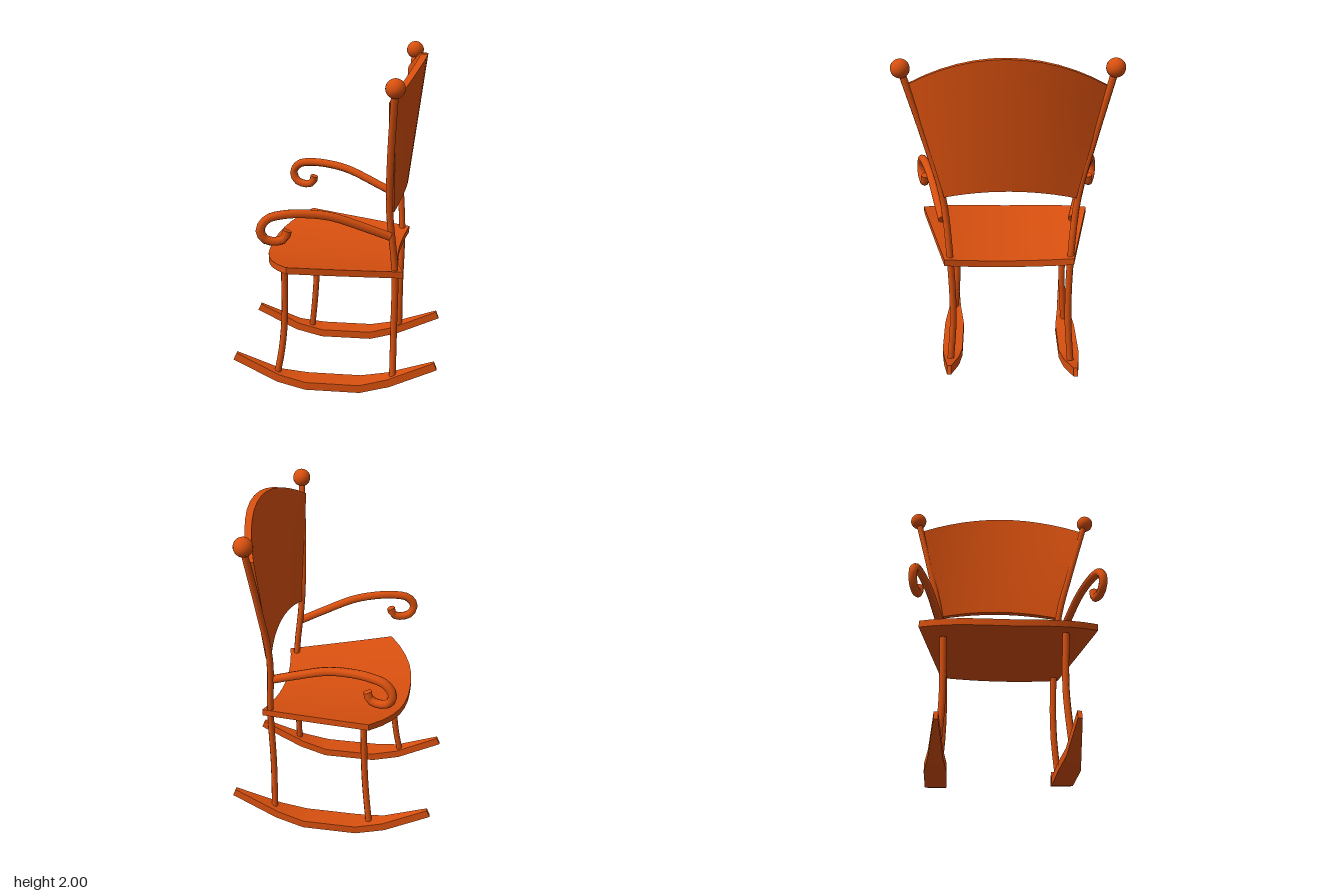
import * as THREE from 'three';

const { lerp } = THREE.MathUtils;

export function createModel() {
  const group = new THREE.Group();
  const wood = new THREE.MeshStandardMaterial({ color: 0xd9500f });
  wood.name = 'orange wood';

  const add = (name, geometry) => {
    const mesh = new THREE.Mesh(geometry, wood);
    mesh.name = name;
    group.add(mesh);
    return mesh;
  };

  // Box with its vertices moved by a rule; a, b, c run from 0 to 1 along x, y, z
  const warpedBox = (name, nx, ny, nz, rule) => {
    const geometry = new THREE.BoxGeometry(1, 1, 1, nx, ny, nz);
    const p = geometry.attributes.position;
    for (let i = 0; i < p.count; i++) {
      p.setXYZ(i, ...rule(p.getX(i) + 0.5, p.getY(i) + 0.5, p.getZ(i) + 0.5));
    }
    geometry.computeVertexNormals();
    return add(name, geometry);
  };

  // Round bar through points, closed at both ends
  const bar = (name, points, radius, steps, sides = 8) => {
    const curve = new THREE.CatmullRomCurve3(points.map((p) => new THREE.Vector3(...p)));
    add(name, new THREE.TubeGeometry(curve, steps, radius, sides));
    for (const t of [0, 1]) {
      const cap = add(name + 'Cap', new THREE.CircleGeometry(radius, sides));
      const out = curve.getTangent(t).multiplyScalar(t ? 1 : -1);
      cap.position.copy(curve.getPoint(t));
      cap.quaternion.setFromUnitVectors(new THREE.Vector3(0, 0, 1), out);
    }
  };

  // Seat: dished across, bowed front edge, narrower hollow back edge
  warpedBox('seat', 6, 1, 12, (a, b, c) => {
    const t = 2 * c - 1;
    const x = lerp(-0.43 + 0.18 * Math.abs(t) ** 2.5, 0.355 + 0.05 * t * t, a);
    const z = lerp(0.52 * t + 0.01, 0.375 * t - 0.01, a);
    const top = 0.81 - 0.04 * (x + 0.43) + 0.26 * z * z;
    return [x, top - 0.04 * (1 - b), z];
  });

  // Backrest: flared panel, bulging backwards, arched top and bottom
  warpedBox('backrest', 1, 5, 12, (a, b, c) => {
    const u = 2 * c - 1;
    const arch = 1 - u * u;
    const inner = lerp(
      lerp(0.335, 0.315, c) + 0.035 * arch,
      lerp(0.365, 0.315, c) + 0.115 * arch, b);
    const y = lerp(1.175 + 0.055 * arch, 1.835 + 0.165 * arch, b);
    const z = u * lerp(0.375, 0.535, b) - 0.015 * (1 - b);
    return [inner + a * lerp(0.032, 0.042, arch), y, z];
  });

  // Rockers: stations of x, y and half width, tapered to the tips
  const stations = [
    [-0.61, 0.185, 0.012], [-0.34, 0.065, 0.04], [-0.17, 0.034, 0.062],
    [0.16, 0.034, 0.062], [0.33, 0.075, 0.046], [0.61, 0.188, 0.012],
  ];
  const rocker = (name, z0, lift) => {
    warpedBox(name, 5, 1, 1, (a, b, c) => {
      const i = Math.round(a * 5);
      const [x, y, half] = stations[i];
      const before = stations[Math.max(i - 1, 0)];
      const after = stations[Math.min(i + 1, 5)];
      const angle = Math.atan2(after[1] - before[1], after[0] - before[0]);
      const h = 0.05 * (b - 0.5);
      return [x - h * Math.sin(angle), y + lift + h * Math.cos(angle),
        z0 - 0.01 * a + half * (2 * c - 1)];
    });
  };
  rocker('leftRocker', 0.352, 0.012);
  rocker('rightRocker', -0.385, -0.008);

  // Back legs running up into the flared posts
  bar('leftPost', [[0.355, 0.08, 0.35], [0.355, 0.4, 0.325], [0.355, 0.8, 0.335],
    [0.32, 1.18, 0.372], [0.325, 1.5, 0.455], [0.348, 1.9, 0.57]], 0.02, 20);
  bar('rightPost', [[0.355, 0.07, -0.387], [0.355, 0.4, -0.363], [0.36, 0.8, -0.368],
    [0.34, 1.18, -0.403], [0.365, 1.5, -0.472], [0.403, 1.9, -0.567]], 0.02, 20);

  // Ball finials
  for (const [name, x, y, z] of [['leftFinial', 0.35, 1.92, 0.577], ['rightFinial', 0.405, 1.935, -0.575]]) {
    add(name, new THREE.SphereGeometry(0.053, 20, 14)).position.set(x, y, z);
  }

  // Curved front legs
  bar('leftFrontLeg', [[-0.295, 0.79, 0.335], [-0.303, 0.45, 0.325],
    [-0.322, 0.25, 0.335], [-0.353, 0.08, 0.347]], 0.02, 12);
  bar('rightFrontLeg', [[-0.2, 0.79, -0.368], [-0.21, 0.42, -0.363],
    [-0.225, 0.23, -0.372], [-0.245, 0.05, -0.385]], 0.02, 12);

  // Scrolled armrests, splayed outwards towards the front
  const scroll = [[0.325, 1.03], [0.2, 1.085], [0, 1.165], [-0.12, 1.187], [-0.25, 1.19],
    [-0.345, 1.168], [-0.385, 1.11], [-0.365, 1.053], [-0.31, 1.033], [-0.255, 1.048], [-0.24, 1.095]];
  for (const [name, side] of [['leftArmrest', 1], ['rightArmrest', -1]]) {
    bar(name, scroll.map(([x, y]) => [x, y, side * (0.455 - 0.25 * x)]), 0.026, 32);
  }

  return group;
}
